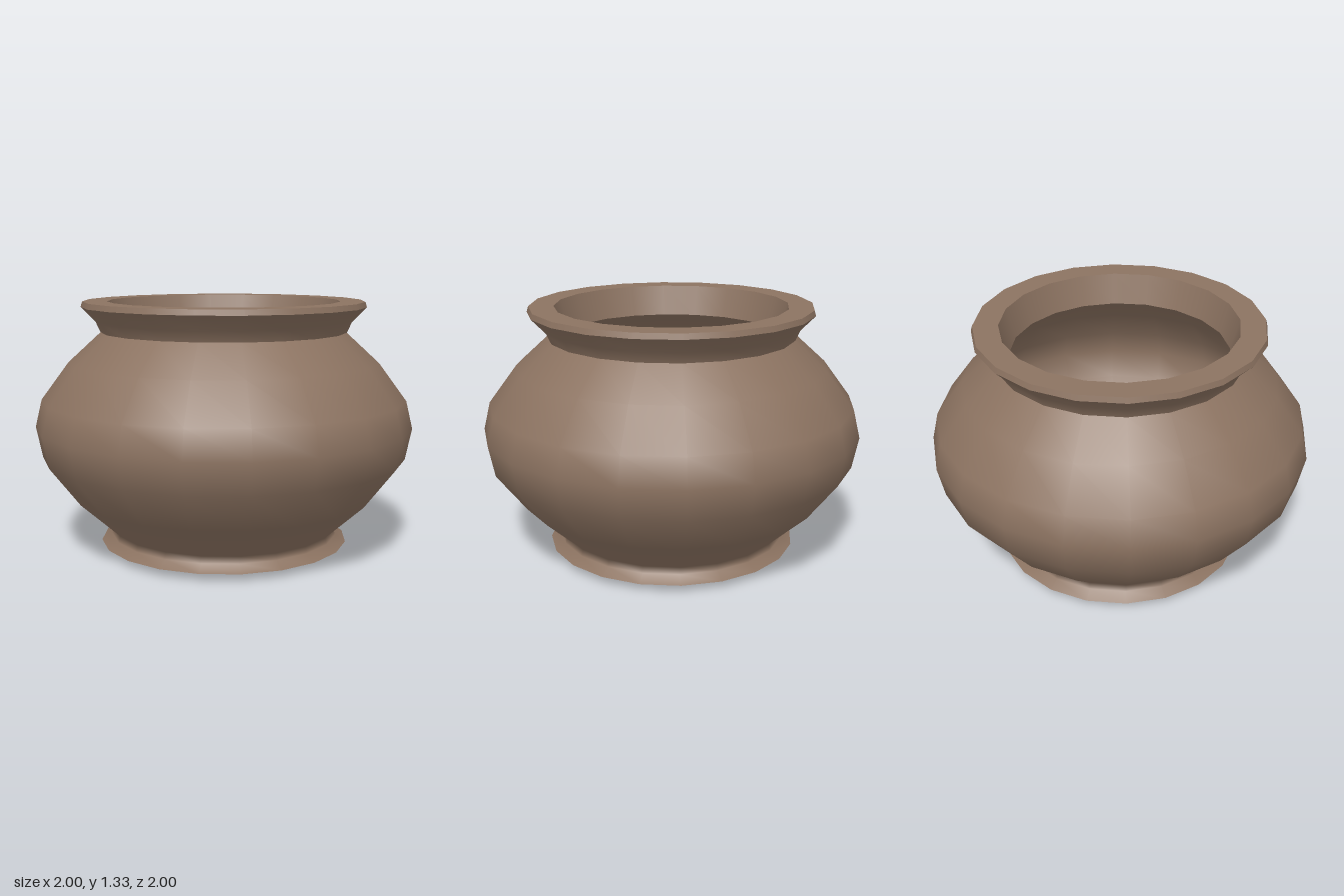
import * as THREE from 'three';

const SIDES = 20;

export function createModel() {
  const pot = new THREE.Group();
  pot.name = 'clayPot';

  const clay = new THREE.MeshStandardMaterial({ color: 0x8c7361 });
  clay.name = 'brown clay';

  // Each section is smooth in itself; the joins between sections stay sharp.
  // The profile runs from the base, up the outside, over the lip and down inside.
  const sections = {
    base: [[0, 0], [0.665, 0.04]],
    body: [
      [0.665, 0.04], [0.61, 0.075], [0.602, 0.11], [0.81, 0.3], [0.967, 0.505],
      [1, 0.67], [0.965, 0.815], [0.82, 1.01], [0.65, 1.165],
    ],
    neck: [[0.65, 1.165], [0.675, 1.22], [0.75, 1.297]],
    lipEdge: [[0.75, 1.297], [0.742, 1.325]],
    lipTop: [[0.742, 1.325], [0.612, 1.325]],
    innerNeck: [[0.612, 1.325], [0.567, 1.165]],
    innerWall: [
      [0.567, 1.165], [0.76, 1.0], [0.9, 0.81], [0.935, 0.67],
      [0.9, 0.51], [0.75, 0.31], [0.57, 0.13],
    ],
    floor: [[0.57, 0.13], [0, 0.13]],
  };

  for (const [name, profile] of Object.entries(sections)) {
    const points = profile.map(([r, y]) => new THREE.Vector2(r, y));
    const mesh = new THREE.Mesh(new THREE.LatheGeometry(points, SIDES), clay);
    mesh.name = name;
    pot.add(mesh);
  }
  return pot;
}
